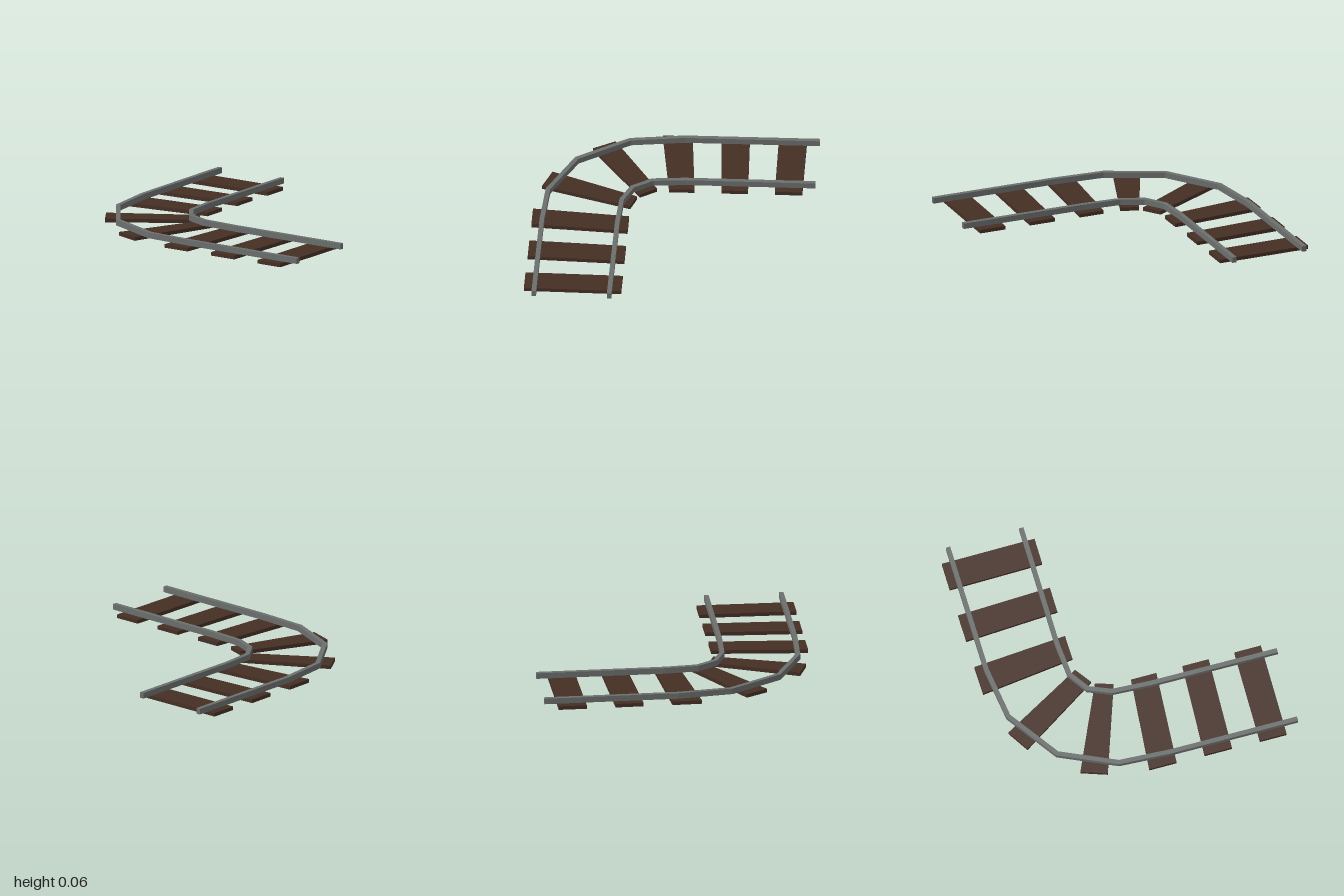
import * as THREE from 'three';

const SLEEPER_TOP = 0.025, RAIL_TOP = 0.064, RAIL_WIDTH = 0.031;

// Upright prism over a plan outline given as [x, z] points
function prism(points, bottom, top, material, name) {
  const shape = new THREE.Shape(points.map(([x, z]) => new THREE.Vector2(x, -z)));
  const geometry = new THREE.ExtrudeGeometry(shape, { depth: top - bottom, bevelEnabled: false });
  geometry.rotateX(-Math.PI / 2).translate(0, bottom, 0);
  const mesh = new THREE.Mesh(geometry, material);
  mesh.name = name;
  return mesh;
}

// Outline of a constant-width strip with mitred corners along a centre line
function strip(path, width) {
  const p = path.map(([x, z]) => new THREE.Vector2(x, z));
  const normal = (a, b) => new THREE.Vector2(a.y - b.y, b.x - a.x).normalize();
  const left = [], right = [];
  p.forEach((c, i) => {
    const before = normal(p[Math.max(i - 1, 0)], p[Math.max(i, 1)]);
    const after = normal(p[Math.min(i, p.length - 2)], p[Math.min(i + 1, p.length - 1)]);
    const mitre = before.clone().add(after).normalize();
    const d = width / 2 / mitre.dot(after);
    left.push([c.x + mitre.x * d, c.y + mitre.y * d]);
    right.unshift([c.x - mitre.x * d, c.y - mitre.y * d]);
  });
  return [...left, ...right];
}

export function createModel() {
  const group = new THREE.Group();
  group.name = 'curvedTrack';
  const wood = new THREE.MeshStandardMaterial({ name: 'darkWood', color: 0x452e24 });
  const steel = new THREE.MeshStandardMaterial({ name: 'greySteel', color: 0x6a6e6c });

  // Sleepers, tapering slightly toward the inside of the bend
  const sleepers = [
    [[-0.945, 0.717], [-0.29, 0.722], [-0.29, 0.907], [-0.945, 0.904]],
    [[-0.942, 0.332], [-0.29, 0.36], [-0.29, 0.543], [-0.942, 0.523]],
    [[-0.94, -0.053], [-0.29, 0.002], [-0.29, 0.178], [-0.94, 0.137]],
    [[-0.835, -0.505], [-0.25, -0.24], [-0.29, -0.12], [-0.895, -0.33]],
    [[-0.58, -0.802], [-0.433, -0.895], [-0.122, -0.342], [-0.233, -0.262]],
    [[-0.12, -0.982], [0.08, -0.988], [0.13, -0.342], [-0.04, -0.338]],
    [[0.275, -0.99], [0.465, -0.994], [0.49, -0.347], [0.312, -0.345]],
    [[0.66, -0.998], [0.85, -1], [0.855, -0.352], [0.67, -0.35]],
  ];
  sleepers.forEach((s, i) => group.add(prism(s, 0, SLEEPER_TOP, wood, `sleeper${i + 1}`)));

  // Two rails bending through a right angle
  const rails = {
    outerRail: [[-0.873, 1], [-0.87, 0.12], [-0.85, -0.24], [-0.678, -0.622],
      [-0.333, -0.867], [0.03, -0.919], [0.94, -0.932]],
    innerRail: [[-0.366, 1], [-0.362, 0.12], [-0.348, -0.145], [-0.285, -0.3],
      [-0.155, -0.39], [0.065, -0.411], [0.94, -0.421]],
  };
  for (const [name, path] of Object.entries(rails)) {
    group.add(prism(strip(path, RAIL_WIDTH), SLEEPER_TOP, RAIL_TOP, steel, name));
  }
  return group;
}
